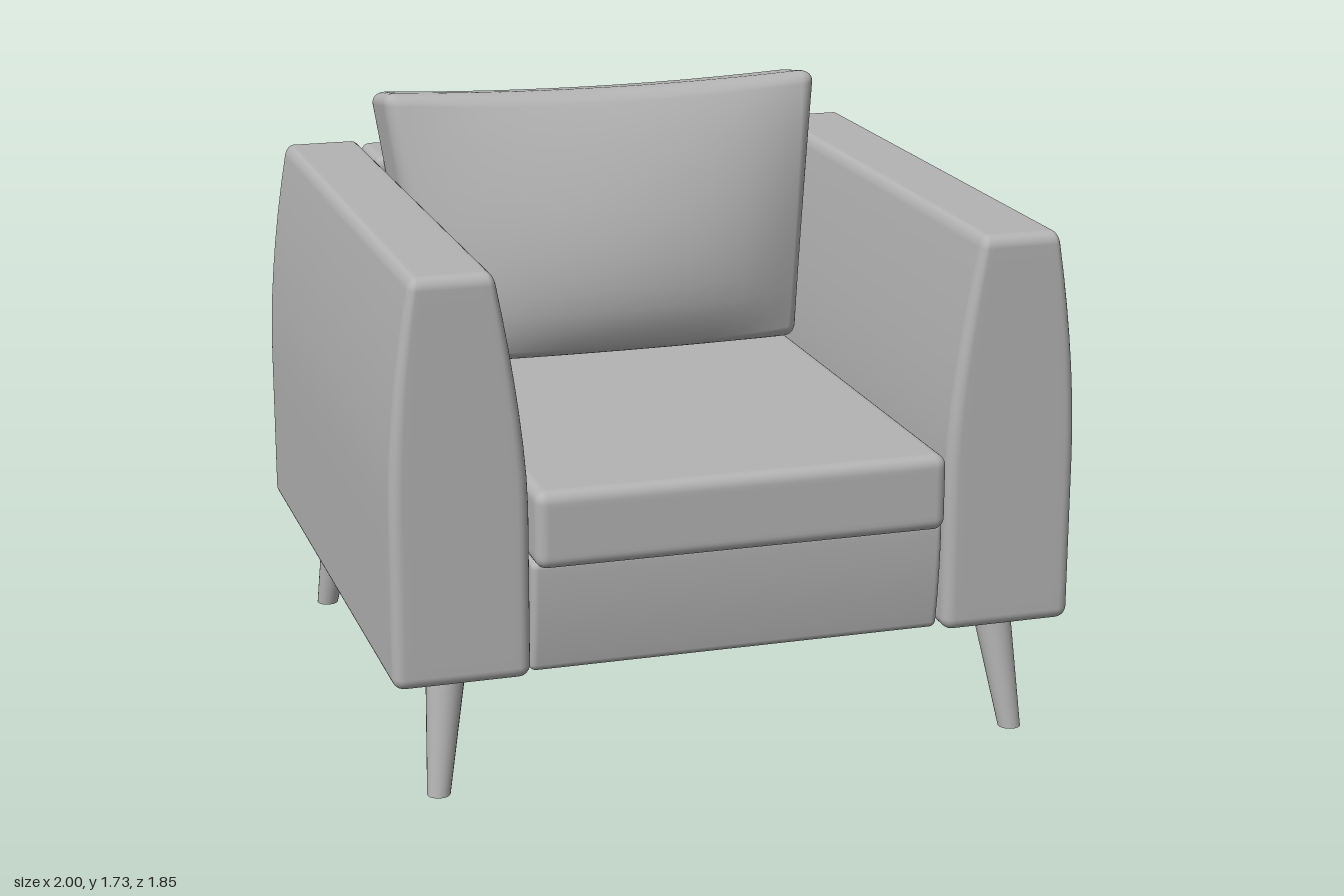
import * as THREE from 'three';
import { mergeVertices } from 'three/addons/utils/BufferGeometryUtils.js';

const clamp = THREE.MathUtils.clamp;
const lerp = THREE.MathUtils.lerp;

// Box from min to max with rounded edges; bend(p) then reshapes each vertex
function softBox(min, max, r, bend) {
  const n = 20, k = 4;
  const lo = new THREE.Vector3(...min), hi = new THREE.Vector3(...max);
  const half = hi.clone().sub(lo).multiplyScalar(0.5);
  const mid = lo.clone().add(hi).multiplyScalar(0.5);
  // k steps across each rounded edge, the rest across the flat part
  const grid = (t, h) => {
    const i = Math.round((t + 1) * n / 2);
    const j = Math.min(i, n - i);
    if (j <= k) return Math.sign(t) * (h - r * j / k);
    return lerp(-(h - r), h - r, (i - k) / (n - 2 * k));
  };
  let geo = new THREE.BoxGeometry(2, 2, 2, n, n, n);
  geo.deleteAttribute('normal');
  geo.deleteAttribute('uv');
  const pos = geo.attributes.position;
  const p = new THREE.Vector3(), core = new THREE.Vector3();
  for (let i = 0; i < pos.count; i++) {
    p.fromBufferAttribute(pos, i);
    p.set(grid(p.x, half.x), grid(p.y, half.y), grid(p.z, half.z));
    core.set(
      clamp(p.x, r - half.x, half.x - r),
      clamp(p.y, r - half.y, half.y - r),
      clamp(p.z, r - half.z, half.z - r));
    p.sub(core).setLength(r).add(core).add(mid);
    if (bend) bend(p);
    pos.setXYZ(i, p.x, p.y, p.z);
  }
  geo = mergeVertices(geo, 1e-4);
  geo.computeVertexNormals();
  return geo;
}

// Arm outline: inner and outer faces lean toward each other near the top
const rise = y => clamp((y - 0.85) / 0.66, 0, 1);
const innerX = y => 0.61 + 0.09 * Math.pow(rise(y), 1.5);
const outerX = y => 1 - 0.07 * Math.pow(rise(y), 1.8);

export function createModel() {
  const group = new THREE.Group();
  group.name = 'armchair';
  const grey = new THREE.MeshStandardMaterial({ color: 0xb3b3b3 });
  grey.name = 'grey';
  const add = (name, geo) => {
    const mesh = new THREE.Mesh(geo, grey);
    mesh.name = name;
    group.add(mesh);
    return mesh;
  };

  // Arms
  for (const s of [1, -1]) {
    add(s > 0 ? 'leftArm' : 'rightArm',
      softBox([-0.195, 0.35, -0.925], [0.195, 1.51, 0.9], 0.035, p => {
        const t = (p.x + 0.195) / 0.39;
        const u = s > 0 ? t : 1 - t;
        p.x = s * lerp(innerX(p.y), outerX(p.y), u);
      }));
  }

  // Backrest, filling the gap between the arms
  add('backrest', softBox([-0.605, 0.35, -0.925], [0.605, 1.5, -0.66], 0.03, p => {
    p.x *= (innerX(p.y) - 0.003) / 0.605;
  }));

  // Seat base, its front leaning in slightly at the bottom
  add('seatBase', softBox([-0.605, 0.35, -0.7], [0.605, 0.68, 0.885], 0.02, p => {
    if (p.z > 0) p.z -= 0.03 * Math.pow((0.68 - p.y) / 0.33, 2);
  }));

  // Seat cushion
  add('seatCushion', softBox([-0.6, 0.668, -0.68], [0.6, 0.892, 0.925], 0.035));

  // Back cushion: widens upward, bulges forward and leans back
  add('backCushion', softBox([-0.6, 0.9, -0.12], [0.6, 1.72, 0.12], 0.04, p => {
    const u = p.x / 0.6, v = (p.y - 0.9) / 0.82;
    const f = (p.z + 0.12) / 0.24;
    const across = Math.max(0, 1 - u * u);
    const along = Math.pow(Math.max(0, Math.sin(Math.PI * Math.pow(v, 0.72))), 0.7);
    const lean = p.z;
    p.x *= 1 + 0.165 * Math.pow(v, 1.15);
    p.z += lerp(-0.475, -0.605, v) + 0.17 * f * Math.pow(across, 0.7) * along;
    p.y += v * (0.16 * lean - 0.022 * across);
  }));

  // Tapered, splayed legs with level feet
  for (const sx of [1, -1]) for (const sz of [1, -1]) {
    const geo = new THREE.CylinderGeometry(0.058, 0.033, 0.37, 24);
    geo.applyMatrix4(new THREE.Matrix4().set(
      1, -sx * 0.12, 0, 0,
      0, 1, 0, 0,
      0, -sz * 0.19, 1, 0,
      0, 0, 0, 1));
    const name = (sz > 0 ? 'front' : 'back') + (sx > 0 ? 'Left' : 'Right') + 'Leg';
    add(name, geo).position.set(sx * 0.84, 0.185, sz > 0 ? 0.775 : -0.767);
  }
  return group;
}
